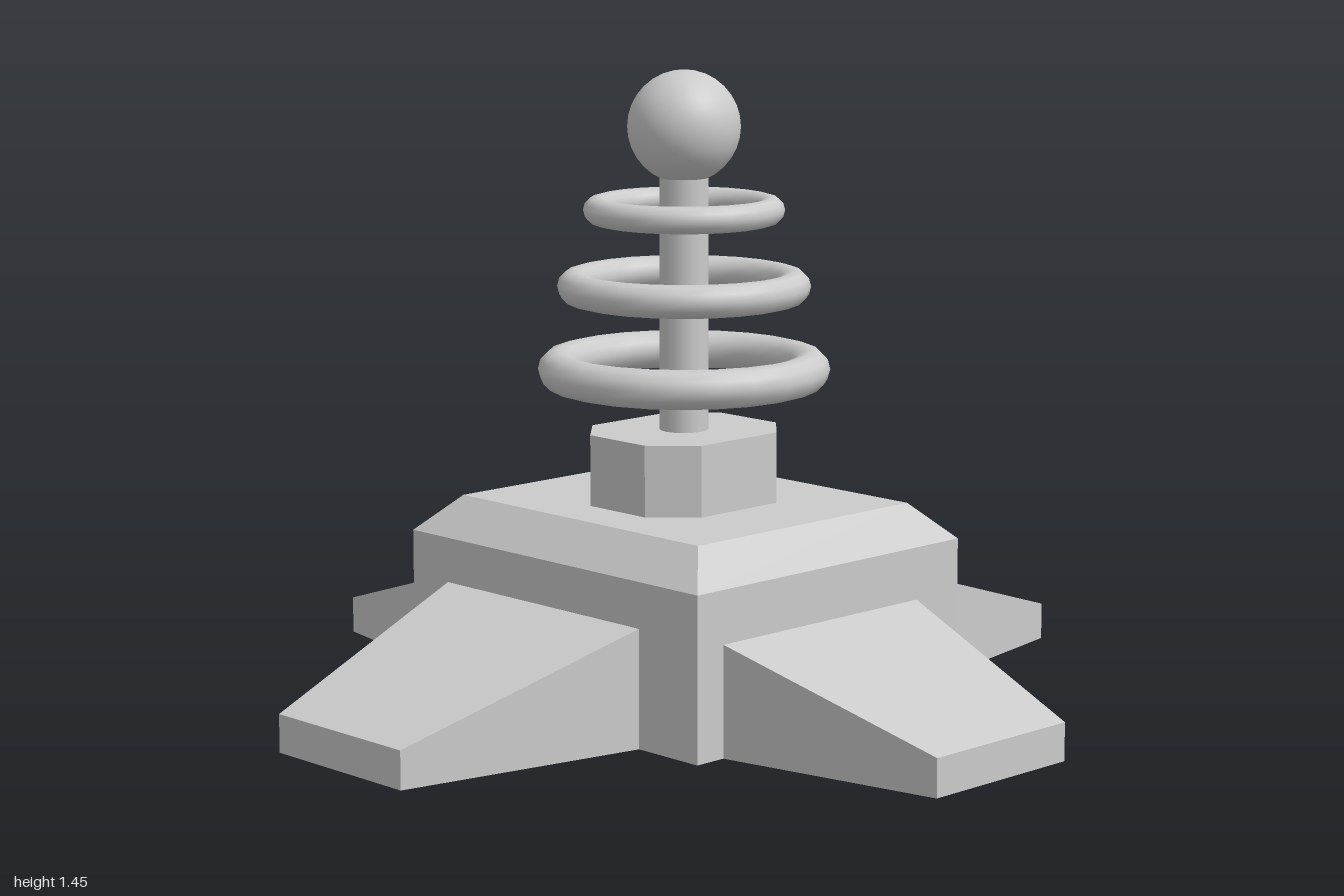
import * as THREE from 'three';

const flat = new THREE.MeshStandardMaterial({ color: 0xcccccc, flatShading: true, side: THREE.DoubleSide });
const smooth = new THREE.MeshStandardMaterial({ color: 0xcccccc });

// Flat-sided shell through stacked rings of corners (counter-clockwise seen from the end), last ring capped
function shell(rings, name) {
  const pos = [];
  const quad = (a, b, c, d) => pos.push(...a, ...b, ...c, ...a, ...c, ...d);
  for (let i = 0; i < rings.length - 1; i++) {
    for (let j = 0; j < 4; j++) {
      const k = (j + 1) % 4;
      quad(rings[i][j], rings[i][k], rings[i + 1][k], rings[i + 1][j]);
    }
  }
  quad(...rings[rings.length - 1]);
  const geo = new THREE.BufferGeometry();
  geo.setAttribute('position', new THREE.Float32BufferAttribute(pos, 3));
  geo.computeVertexNormals();
  const mesh = new THREE.Mesh(geo, flat);
  mesh.name = name;
  return mesh;
}

// Horizontal rectangle ring of the base
const rect = (x, y, z) => [[-x, y, z], [x, y, z], [x, y, -z], [-x, y, -z]];

// Foot tapering outwards along +z, slightly off centre, open underneath
function makeFoot() {
  const station = (z, x0, x1, y) => ({ z, x0, x1, y });
  const a = station(0.35, -0.363, 0.303, 0.292);
  const b = station(1, -0.236, 0.176, 0.087);
  const pos = [];
  const quad = (p, q, r, s) => pos.push(...p, ...q, ...r, ...p, ...r, ...s);
  const c = (s, side, top) => [side ? s.x1 : s.x0, top ? s.y : 0, s.z];
  quad(c(a, 0, 1), c(b, 0, 1), c(b, 1, 1), c(a, 1, 1)); // sloping top
  quad(c(b, 0, 0), c(b, 1, 0), c(b, 1, 1), c(b, 0, 1)); // toe
  quad(c(a, 0, 0), c(b, 0, 0), c(b, 0, 1), c(a, 0, 1)); // sides
  quad(c(b, 1, 0), c(a, 1, 0), c(a, 1, 1), c(b, 1, 1));
  const geo = new THREE.BufferGeometry();
  geo.setAttribute('position', new THREE.Float32BufferAttribute(pos, 3));
  geo.computeVertexNormals();
  return geo;
}

export function createModel() {
  const model = new THREE.Group();
  model.name = 'ringedCoilTower';
  const add = (name, geo, mat, y = 0) => {
    const mesh = new THREE.Mesh(geo, mat);
    mesh.name = name;
    mesh.position.y = y;
    model.add(mesh);
    return mesh;
  };

  // Hollow base with bevelled top
  model.add(shell([rect(0.472, 0, 0.418), rect(0.472, 0.375, 0.418), rect(0.389, 0.458, 0.335)], 'base'));

  // Four feet in a pinwheel
  const foot = makeFoot();
  ['frontFoot', 'leftFoot', 'backFoot', 'rightFoot'].forEach((name, i) => {
    add(name, foot, flat).rotation.y = i * Math.PI / 2;
  });

  // Eight-sided collar
  const collar = new THREE.Shape([
    [0.09, 0.21], [-0.09, 0.21], [-0.18, 0.12], [-0.18, -0.12],
    [-0.09, -0.21], [0.09, -0.21], [0.18, -0.12], [0.18, 0.12],
  ].map(([x, y]) => new THREE.Vector2(x, y)));
  const collarGeo = new THREE.ExtrudeGeometry(collar, { depth: 0.165, bevelEnabled: false });
  add('collar', collarGeo.rotateX(-Math.PI / 2), flat, 0.457);

  // Mast and ball
  add('mast', new THREE.CylinderGeometry(0.056, 0.056, 0.65, 16), smooth, 0.935);
  add('ball', new THREE.SphereGeometry(0.129, 32, 16), smooth, 1.318);

  // Rings, shrinking upwards
  [
    ['lowerRing', 0.29, 0.045, 0.762],
    ['middleRing', 0.252, 0.038, 0.953],
    ['upperRing', 0.199, 0.031, 1.128],
  ].forEach(([name, radius, tube, y]) => {
    add(name, new THREE.TorusGeometry(radius, tube, 12, 24).rotateX(Math.PI / 2), smooth, y);
  });

  return model;
}
